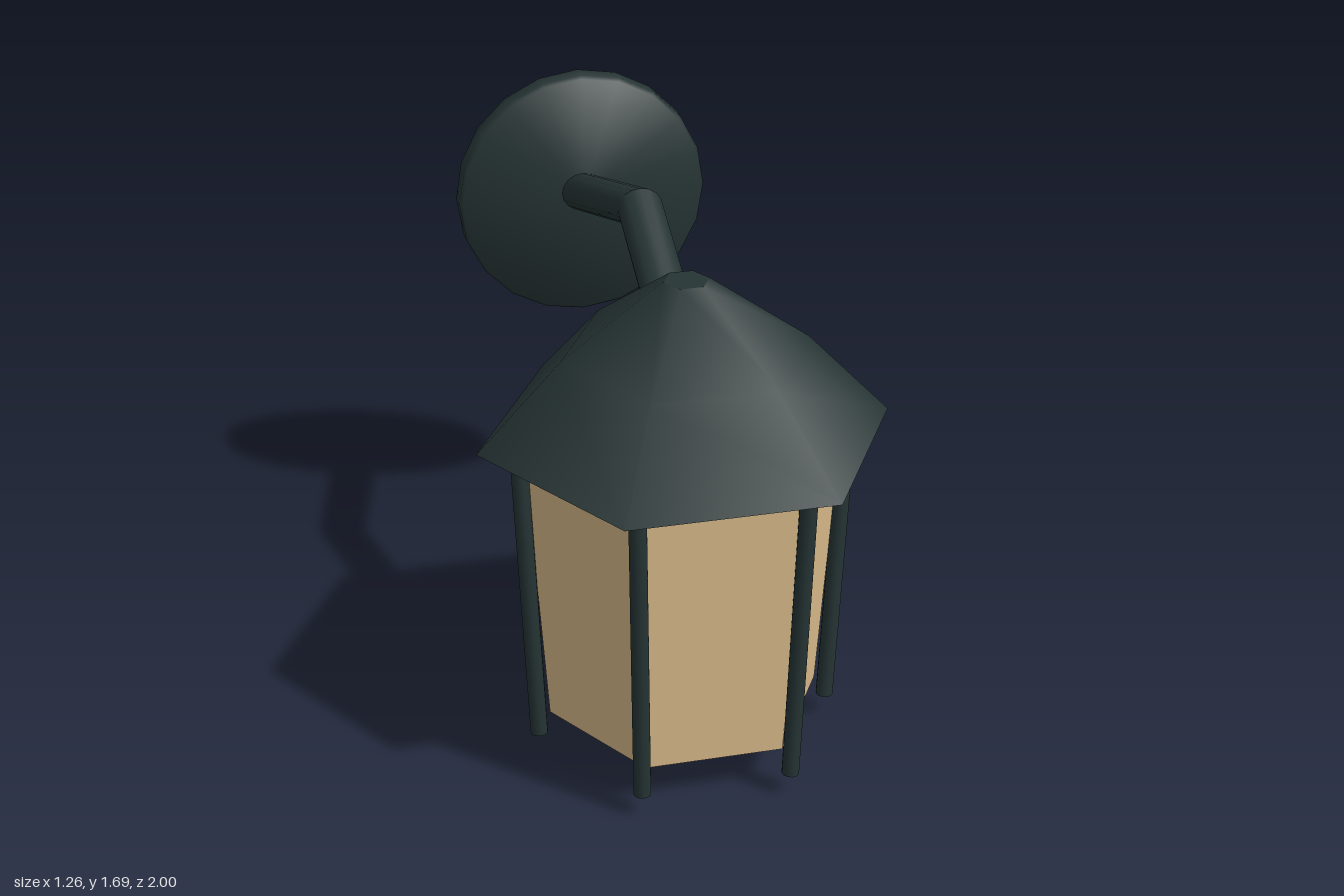
import * as THREE from 'three';
import { toCreasedNormals } from 'three/addons/utils/BufferGeometryUtils.js';

const LANTERN_Z = 0.45;

// Lathe from [radius, height] pairs, listed from bottom to top
function lathe(profile, sides) {
  const points = profile.map(([r, y]) => new THREE.Vector2(r, y));
  return new THREE.LatheGeometry(points, sides, Math.PI / 2);
}

// Arm lofted through upright oval rings [z, y, halfWidth, halfHeight], capped at both ends
function loftArm(rings, sides) {
  const positions = [], index = [];
  rings.forEach(([z, y, w, h]) => {
    for (let i = 0; i < sides; i++) {
      const a = (i / sides) * Math.PI * 2;
      positions.push(Math.cos(a) * w, y + Math.sin(a) * h, z);
    }
  });
  for (let r = 0; r < rings.length - 1; r++) {
    for (let i = 0; i < sides; i++) {
      const a = r * sides + i, b = r * sides + ((i + 1) % sides);
      index.push(a, b, b + sides, a, b + sides, a + sides);
    }
  }
  const last = (rings.length - 1) * sides;
  for (let i = 1; i < sides - 1; i++) {
    index.push(0, i + 1, i, last, last + i, last + i + 1);
  }
  const geometry = new THREE.BufferGeometry();
  geometry.setAttribute('position', new THREE.Float32BufferAttribute(positions, 3));
  geometry.setIndex(index);
  return toCreasedNormals(geometry, 0.6);
}

export function createModel() {
  const model = new THREE.Group();
  model.name = 'wallLantern';

  const metal = new THREE.MeshStandardMaterial({ color: 0x263434 });
  metal.name = 'darkMetal';
  metal.side = THREE.DoubleSide;
  const glass = new THREE.MeshStandardMaterial({ color: 0xdcbc8c });
  glass.name = 'amberGlass';

  function add(name, geometry, material, parent = model) {
    const mesh = new THREE.Mesh(geometry, material);
    mesh.name = name;
    parent.add(mesh);
    return mesh;
  }

  const lantern = new THREE.Group();
  lantern.name = 'lantern';
  lantern.position.z = LANTERN_Z;
  model.add(lantern);

  // Six-sided roof, hollow underneath
  add('roof', lathe([[0.63, 1.06], [0.375, 1.33], [0.07, 1.55]], 6), metal, lantern);
  add('roofCap', lathe([[0.07, 1.55], [0, 1.55]], 6), metal, lantern);

  // Tapered glass body with shallow points above and below
  const body = lathe([[0, 0], [0.425, 0.14], [0.485, 0.99], [0, 1.06]], 6);
  add('glassBody', toCreasedNormals(body, 0.1), glass, lantern);

  // Leaning posts at the six corners
  const up = new THREE.Vector3(0, 1, 0);
  for (let i = 0; i < 6; i++) {
    const a = (i / 6) * Math.PI * 2;
    const at = (r, y) => new THREE.Vector3(Math.cos(a) * r, y, Math.sin(a) * r);
    const foot = at(0.46, 0.073), head = at(0.508, 1.13);
    const axis = head.clone().sub(foot);
    const post = add('post', new THREE.CylinderGeometry(0.027, 0.027, axis.length(), 12), metal, lantern);
    post.position.copy(foot).add(head).multiplyScalar(0.5);
    post.quaternion.setFromUnitVectors(up, axis.normalize());
  }

  // Bent arm from the wall plate into the roof
  add('arm', loftArm([
    [-0.94, 1.275, 0.071, 0.066],
    [-0.11, 1.55, 0.071, 0.063],
    [0.33, 1.33, 0.071, 0.071],
  ], 16), metal);

  // Round wall plate with a softened rim
  const plateShape = lathe([
    [0, -0.04], [0.41, -0.04], [0.42, -0.03], [0.42, 0.03], [0.41, 0.04], [0, 0.04],
  ], 20);
  const plate = add('wallPlate', toCreasedNormals(plateShape, 0.9), metal);
  plate.rotation.x = Math.PI / 2;
  plate.position.set(0, 1.27, -0.96);

  return model;
}
